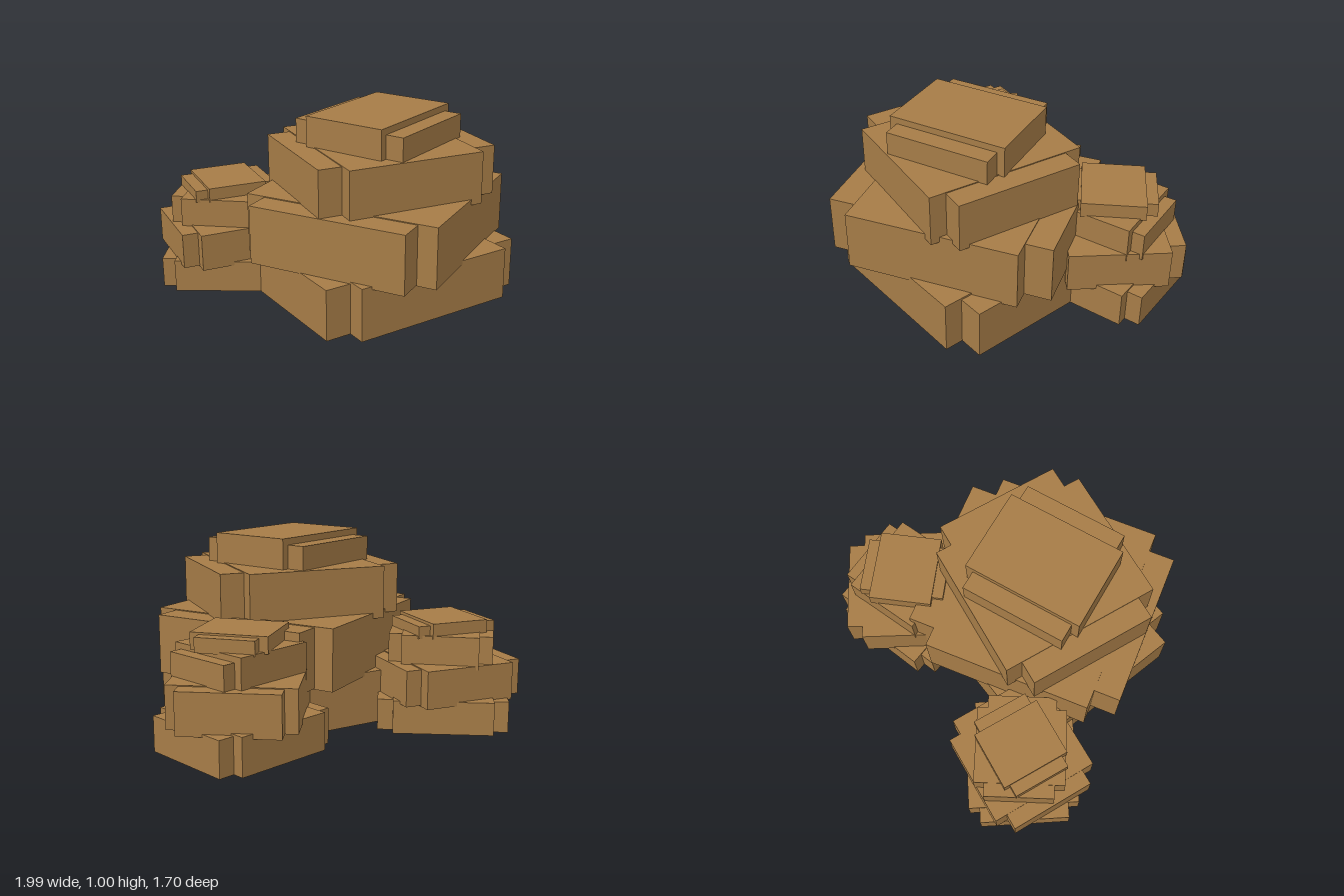
import * as THREE from 'three';

const rock = new THREE.MeshStandardMaterial({ color: 0xa67c47 });
rock.name = 'brown rock';

// Each layer is two crossing slabs on one centre:
// [turn in degrees, [width, depth, bottom, top], [width, depth, bottom, top]]
const stacks = [
  { name: 'mainPile', x: 0.05, z: 0.14, layers: [
    [3.6, [1.2, 0.85, 0, 0.275], [0.92, 1.055, 0, 0.285]],
    [33, [1.22, 0.87, 0.27, 0.585], [0.93, 1.08, 0.265, 0.59]],
    [-4.7, [1.0, 0.7, 0.57, 0.835], [0.75, 0.88, 0.56, 0.84]],
    [25.3, [0.66, 0.465, 0.82, 1.0], [0.577, 0.664, 0.83, 0.965]],
  ] },
  { name: 'rightPile', x: -0.585, z: -0.45, layers: [
    [-31.3, [0.68, 0.49, 0, 0.165], [0.52, 0.61, 0, 0.175]],
    [-4.3, [0.675, 0.47, 0.16, 0.35], [0.505, 0.605, 0.155, 0.355]],
    [-37, [0.54, 0.37, 0.34, 0.5], [0.4, 0.48, 0.335, 0.505]],
    [-5, [0.45, 0.31, 0.49, 0.555], [0.32, 0.375, 0.49, 0.57]],
  ] },
  { name: 'leftPile', x: 0.575, z: -0.42, layers: [
    [17.5, [0.7, 0.51, 0, 0.185], [0.53, 0.63, 0, 0.195]],
    [-32.8, [0.5, 0.71, 0.17, 0.385], [0.63, 0.537, 0.17, 0.39]],
    [20, [0.565, 0.385, 0.36, 0.51], [0.43, 0.47, 0.35, 0.54]],
    [-42, [0.39, 0.34, 0.53, 0.615], [0.3, 0.46, 0.53, 0.605]],
  ] },
];

function makeSlab([w, d, y0, y1], name) {
  const mesh = new THREE.Mesh(new THREE.BoxGeometry(w, y1 - y0, d), rock);
  mesh.position.y = (y0 + y1) / 2;
  mesh.name = name;
  return mesh;
}

export function createModel() {
  const model = new THREE.Group();
  model.name = 'rockPile';
  for (const s of stacks) {
    const pile = new THREE.Group();
    pile.name = s.name;
    pile.position.set(s.x, 0, s.z);
    s.layers.forEach(([turn, a, b], i) => {
      const layer = new THREE.Group();
      layer.name = `layer${i + 1}`;
      layer.rotation.y = THREE.MathUtils.degToRad(turn);
      layer.add(makeSlab(a, 'slab'), makeSlab(b, 'crossSlab'));
      pile.add(layer);
    });
    model.add(pile);
  }
  return model;
}
